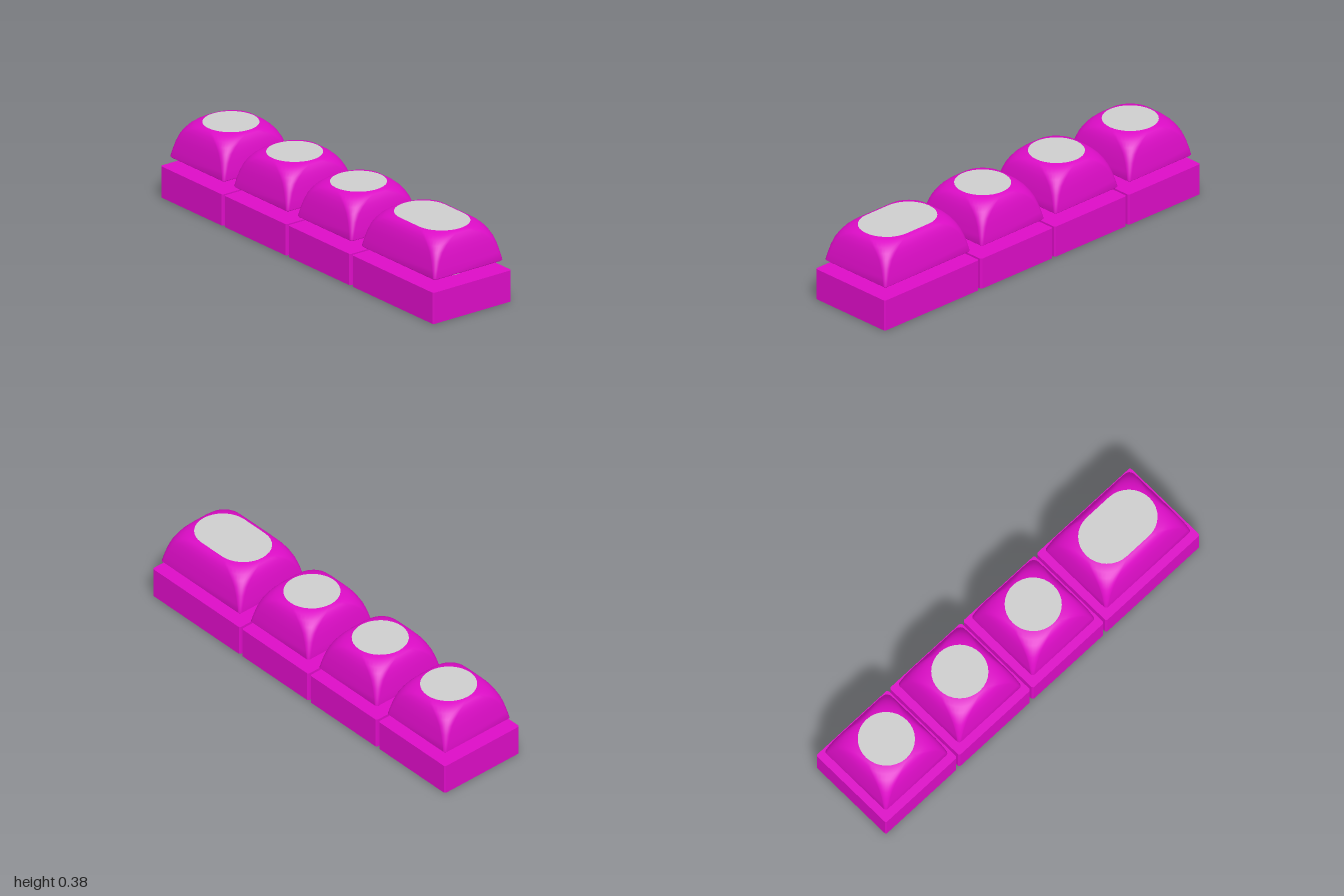
import * as THREE from 'three';

const magenta = new THREE.MeshStandardMaterial({ color: 0xdc0cc6 });
magenta.name = 'magenta plastic';
const grey = new THREE.MeshStandardMaterial({ color: 0xcdcdcd });
grey.name = 'light grey';

// Rounded rectangle outline with half sizes hx, hz and corner radius r
function ring(hx, hz, r, steps = 8) {
  const pts = [];
  const corners = [[1, 1], [-1, 1], [-1, -1], [1, -1]];
  corners.forEach(([sx, sz], c) => {
    for (let i = 0; i <= steps; i++) {
      const a = (c + i / steps) * Math.PI / 2;
      pts.push(new THREE.Vector2(sx * (hx - r) + r * Math.cos(a), sz * (hz - r) + r * Math.sin(a)));
    }
  });
  return pts;
}

function add(group, name, geometry, material) {
  const mesh = new THREE.Mesh(geometry, material);
  mesh.name = name;
  group.add(mesh);
  return mesh;
}

// Cap sections: height, inset from the widest outline, corner radius
const SECTIONS = [
  [0.197, 0.006, 0.010], [0.203, 0.000, 0.014], [0.24, 0.006, 0.020], [0.28, 0.013, 0.030],
  [0.315, 0.021, 0.045], [0.34, 0.029, 0.065], [0.36, 0.038, 0.088], [0.374, 0.049, 0.112],
  [0.381, 0.060, 0.128], [0.384, 0.070, 0.1305],
];

// Sides of the cap: square at the foot, round at the top
function capSides(hx, hz) {
  const pos = [], index = [];
  let n = 0;
  SECTIONS.forEach(([y, inset, r], k) => {
    const pts = ring(hx - inset, hz - inset, r);
    n = pts.length;
    pts.forEach(p => pos.push(p.x, y, p.y));
    if (k === 0) return;
    for (let i = 0; i < n; i++) {
      const a = (k - 1) * n + i, b = (k - 1) * n + (i + 1) % n;
      index.push(a, a + n, b, b, a + n, b + n);
    }
  });
  const g = new THREE.BufferGeometry();
  g.setAttribute('position', new THREE.Float32BufferAttribute(pos, 3));
  g.setIndex(index);
  g.computeVertexNormals();
  return g;
}

// Flat end of the cap, facing up or down
function capEnd(hx, hz, [y, inset, r], up) {
  const g = new THREE.ShapeGeometry(new THREE.Shape(ring(hx - inset, hz - inset, r)));
  return g.rotateX(up ? -Math.PI / 2 : Math.PI / 2).translate(0, y, 0);
}

// Upright block with chamfered corners and an optional opening
function block(hx, hz, y0, y1, wall) {
  const shape = new THREE.Shape(ring(hx, hz, 0.007, 1));
  if (wall) shape.holes.push(new THREE.Path(ring(hx - wall, hz - wall, 0.004, 1).reverse()));
  const g = new THREE.ExtrudeGeometry(shape, { depth: y1 - y0, bevelEnabled: false });
  return g.rotateX(-Math.PI / 2).translate(0, y0, 0);
}

function key(width, balls) {
  const g = new THREE.Group();
  const hx = width / 2, hz = 0.228;

  // Base, hollow underneath
  add(g, 'baseFrame', block(hx, hz, 0, 0.112, 0.066), magenta);
  add(g, 'basePlate', block(hx, hz, 0.112, 0.153), magenta);

  // Ball joints between base and cap
  for (const x of balls) {
    const ball = new THREE.SphereGeometry(0.081, 32, 20).toNonIndexed();
    ball.computeVertexNormals();
    add(g, 'ballJoint', ball, grey).position.set(x, 0.166, 0);
  }

  // Cap with a flat grey top
  const cx = hx - 0.0275, cz = 0.201;
  const cap = new THREE.Group();
  cap.name = 'cap';
  cap.position.z = -0.002;
  add(cap, 'capSides', capSides(cx, cz), magenta);
  add(cap, 'capUnderside', capEnd(cx, cz, SECTIONS[0], false), magenta);
  add(cap, 'capTop', capEnd(cx, cz, SECTIONS[SECTIONS.length - 1], true), grey);
  g.add(cap);
  return g;
}

export function createModel() {
  const model = new THREE.Group();
  model.name = 'keyRow';

  // Three square keys and one wide key
  [-0.7725, -0.305, 0.1625].forEach(x => {
    const k = key(0.455, [0]);
    k.name = 'squareKey';
    k.position.x = x;
    model.add(k);
  });
  const wide = key(0.597, [-0.104, 0.104]);
  wide.name = 'wideKey';
  wide.position.x = 0.7015;
  model.add(wide);
  return model;
}
